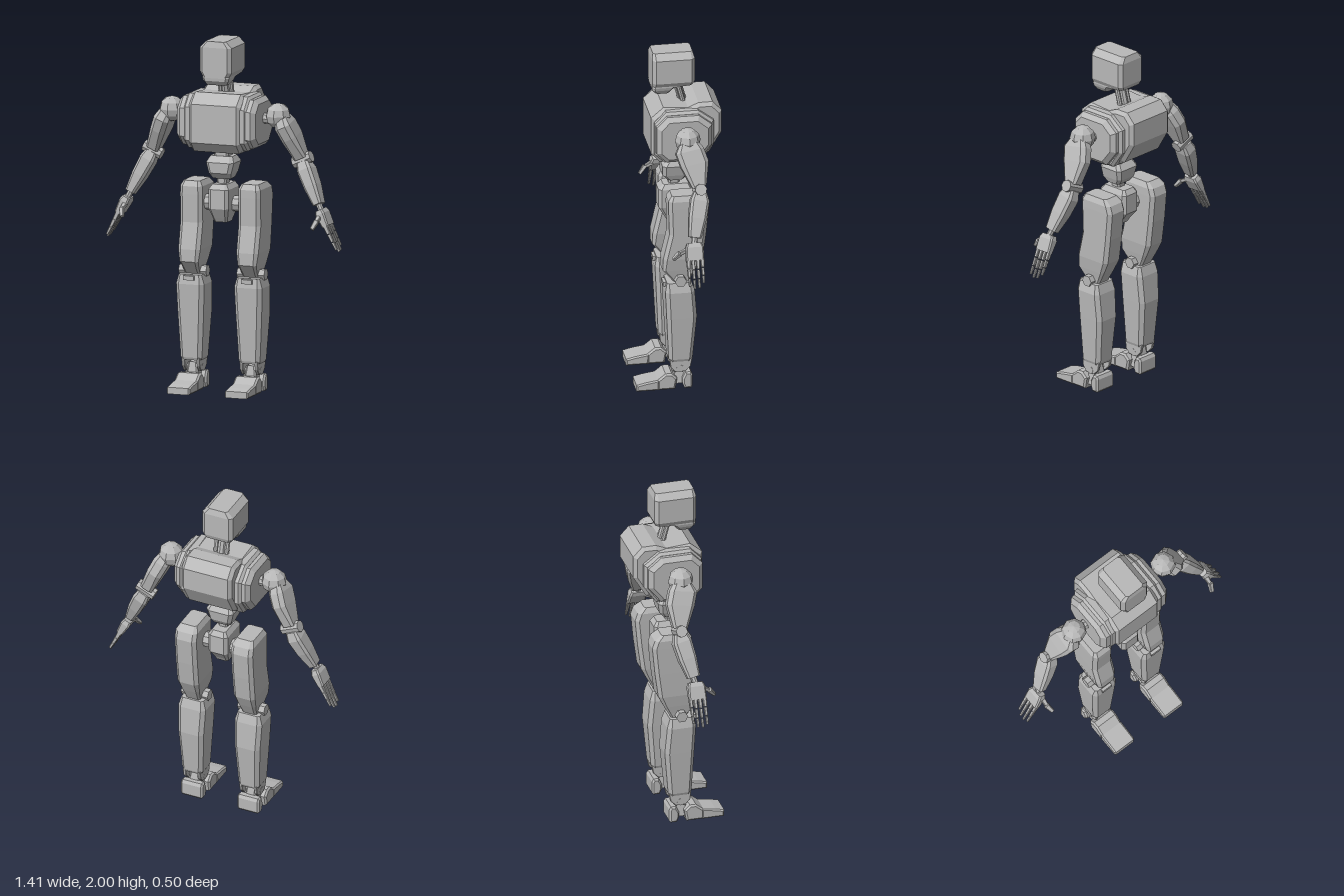
import * as THREE from 'three';

const grey = new THREE.MeshStandardMaterial({ color: 0xb8b8b8 });

function flatMesh(name, geo) {
  const g = geo.index ? geo.toNonIndexed() : geo;
  g.computeVertexNormals();
  const m = new THREE.Mesh(g, grey);
  m.name = name;
  return m;
}

// Stack of chamfered rectangles; each section is [y, halfWidth, zBack, zFront, chamfer]
function loft(name, sections) {
  const rings = [...sections].sort((a, b) => a[0] - b[0]).map(([y, w, b, f, c]) => [
    [w, y, b + c], [w, y, f - c], [w - c, y, f], [c - w, y, f],
    [-w, y, f - c], [-w, y, b + c], [c - w, y, b], [w - c, y, b],
  ]);
  const index = [], top = (rings.length - 1) * 8;
  for (let r = 0; r < rings.length - 1; r++) {
    for (let i = 0; i < 8; i++) {
      const a = r * 8 + i, c = r * 8 + (i + 1) % 8;
      index.push(a, a + 8, c, c, a + 8, c + 8);
    }
  }
  for (let i = 1; i < 7; i++) index.push(0, i, i + 1, top, top + i + 1, top + i);
  const g = new THREE.BufferGeometry();
  g.setAttribute('position', new THREE.Float32BufferAttribute(rings.flat(2), 3));
  g.setIndex(index);
  return flatMesh(name, g);
}

// Side profile of [z, y] points, given a width along x and bevelled edges
function slab(name, profile, halfWidth, bevel) {
  const shape = new THREE.Shape(profile.map(([z, y]) => new THREE.Vector2(z, y)));
  const depth = 2 * (halfWidth - bevel);
  const g = new THREE.ExtrudeGeometry(shape, {
    depth, bevelSize: bevel, bevelThickness: bevel, bevelOffset: -bevel, bevelSegments: 1,
  });
  g.translate(0, 0, -depth / 2).rotateY(-Math.PI / 2);
  return flatMesh(name, g);
}

// Cylinder lying along x
function pin(name, radius, length, sides = 8) {
  return flatMesh(name, new THREE.CylinderGeometry(radius, radius, length, sides).rotateZ(Math.PI / 2));
}

function at(mesh, x, y, z) {
  mesh.position.set(x, y, z);
  return mesh;
}

// Group starting at a, whose -y axis points towards b
function bone(name, a, b) {
  const g = new THREE.Group();
  g.name = name;
  const A = new THREE.Vector3(...a);
  const y = A.clone().sub(new THREE.Vector3(...b)).normalize();
  const x = new THREE.Vector3().crossVectors(y, new THREE.Vector3(0, 0, 1)).normalize();
  const z = new THREE.Vector3().crossVectors(x, y);
  g.quaternion.setFromRotationMatrix(new THREE.Matrix4().makeBasis(x, y, z));
  g.position.copy(A);
  return g;
}

function arm(s) {
  const g = new THREE.Group();
  g.name = s > 0 ? 'leftArm' : 'rightArm';
  const ball = flatMesh('shoulderBall', new THREE.SphereGeometry(0.073, 8, 6));
  g.add(at(ball, s * 0.32, 1.575, -0.028));
  g.add(at(pin('shoulderAxle', 0.03, 0.08), s * 0.25, 1.555, -0.028));

  const upper = bone('upperArm', [s * 0.345, 1.565, -0.028], [s * 0.455, 1.315, -0.075]);
  upper.add(loft('upperArmShell', [
    [0.01, 0.035, -0.05, 0.05, 0.015], [-0.04, 0.046, -0.075, 0.085, 0.022],
    [-0.12, 0.045, -0.085, 0.075, 0.022], [-0.25, 0.037, -0.04, 0.04, 0.012],
  ]));
  upper.add(at(pin('elbowPin', 0.034, 0.115), 0, -0.265, 0));

  const fore = bone('forearm', [s * 0.455, 1.315, -0.075], [s * 0.578, 1.065, -0.02]);
  fore.add(loft('forearmShell', [
    [0, 0.034, -0.035, 0.035, 0.01], [-0.05, 0.044, -0.055, 0.05, 0.014],
    [-0.15, 0.04, -0.052, 0.048, 0.014], [-0.26, 0.027, -0.036, 0.036, 0.01],
  ]));
  fore.add(at(flatMesh('wrist', new THREE.CylinderGeometry(0.018, 0.018, 0.08, 8)), 0, -0.28, 0));

  const hand = bone('hand', [s * 0.58, 1.06, -0.018], [s * 0.7, 0.825, -0.018]);
  hand.add(loft('palm', [
    [0, 0.022, -0.04, 0.04, 0.008], [-0.025, 0.028, -0.05, 0.05, 0.008], [-0.1, 0.02, -0.05, 0.052, 0.007],
  ]));
  [0.04, 0.013, -0.014, -0.04].forEach((z, i) => {
    const len = [0.15, 0.165, 0.16, 0.135][i];
    for (let k = 0; k < 3; k++) {
      const w = 0.013 - k * 0.002, seg = len / 3;
      hand.add(at(loft('fingerSegment', [
        [0, w, -w * 0.8, w * 0.8, 0.003], [-seg * 0.94, w - 0.002, -w * 0.7, w * 0.7, 0.003],
      ]), 0, -0.097 - k * seg, z));
    }
  });
  g.add(upper, fore, hand);

  // Thumb in two bent segments
  const path = [[s * 0.585, 1.025, 0.015], [s * 0.585, 1, 0.065], [s * 0.572, 0.965, 0.095]];
  for (let k = 0; k < 2; k++) {
    const t = bone('thumb', path[k], path[k + 1]);
    t.add(loft('thumbSegment', [[0.005, 0.015, -0.013, 0.013, 0.004], [-0.05, 0.011, -0.009, 0.009, 0.003]]));
    g.add(t);
  }
  return g;
}

function leg(s) {
  const g = new THREE.Group();
  g.name = s > 0 ? 'leftLeg' : 'rightLeg';
  g.position.x = s * 0.175;
  g.add(loft('thigh', [
    [1.185, 0.05, -0.11, 0.045, 0.012], [1.155, 0.066, -0.15, 0.065, 0.02],
    [1.11, 0.067, -0.165, 0.065, 0.02], [0.95, 0.067, -0.15, 0.06, 0.02],
    [0.8, 0.066, -0.13, 0.095, 0.02], [0.73, 0.056, -0.095, 0.097, 0.015],
    [0.685, 0.048, -0.07, 0.06, 0.012], [0.65, 0.044, -0.05, 0.03, 0.01],
  ]));
  g.add(at(pin('hipAxle', 0.045, 0.1), -s * 0.09, 1.06, -0.02));
  g.add(at(pin('kneePin', 0.034, 0.165, 6), 0, 0.67, 0));
  g.add(loft('shin', [
    [0.655, 0.068, -0.065, 0.075, 0.012], [0.6, 0.084, -0.082, 0.085, 0.022],
    [0.44, 0.078, -0.095, 0.077, 0.022], [0.18, 0.064, -0.072, 0.064, 0.02],
    [0.165, 0.058, -0.065, 0.058, 0.018],
  ]));
  const latch = flatMesh('shinLatch', new THREE.BoxGeometry(0.065, 0.025, 0.03));
  g.add(at(latch, 0, 0.637, 0.078));

  // Ankle fork and pivot
  for (const k of [-1, 1]) {
    g.add(at(slab('ankleFork', [[-0.07, 0.18], [-0.06, 0.13], [-0.03, 0.1], [0.03, 0.1], [0.055, 0.13], [0.06, 0.18]],
      0.009, 0.003), k * 0.045, 0, 0));
  }
  g.add(loft('ankleBlock', [[0.15, 0.025, -0.025, 0.025, 0.008], [0.1, 0.032, -0.035, 0.035, 0.008], [0.025, 0.045, -0.04, 0.04, 0.008]]));
  g.add(at(pin('anklePin', 0.022, 0.11), 0, 0.12, 0));

  // Foot
  g.add(slab('heel', [[-0.07, 0.012], [-0.06, 0], [-0.025, 0], [-0.012, 0.03], [-0.012, 0.06], [-0.03, 0.098], [-0.06, 0.098], [-0.07, 0.08]], 0.068, 0.01));
  g.add(slab('midfoot', [[0.03, 0], [0.13, 0], [0.13, 0.06], [0.085, 0.096], [0.05, 0.096], [0.018, 0.065]], 0.07, 0.01));
  g.add(slab('toe', [[0.12, 0], [0.25, 0], [0.25, 0.038], [0.2, 0.05], [0.12, 0.062]], 0.07, 0.008));
  return g;
}

export function createModel() {
  const model = new THREE.Group();
  model.name = 'robot';

  // Head and neck
  model.add(loft('head', [
    [2, 0.06, -0.1, 0.125, 0.012], [1.965, 0.095, -0.11, 0.132, 0.02],
    [1.825, 0.095, -0.11, 0.132, 0.02], [1.8, 0.08, -0.1, 0.132, 0.018],
    [1.792, 0.08, 0, 0.132, 0.015], [1.775, 0.075, 0.015, 0.13, 0.015], [1.75, 0.058, 0.035, 0.11, 0.01],
  ]));
  const neck = bone('neck', [0, 1.81, -0.015], [0, 1.68, -0.05]);
  for (const [x, z, r] of [[0, 0, 0.024], [-0.034, 0, 0.014], [0.034, 0, 0.014]]) {
    neck.add(at(flatMesh('neckRod', new THREE.CylinderGeometry(r, r, 0.13, 8)), x, -0.065, z));
  }
  model.add(neck);

  // Torso, stepping down in size towards the shoulders
  model.add(slab('chest', [
    [0.15, 1.42], [0.15, 1.64], [0.08, 1.7], [-0.06, 1.69], [-0.12, 1.716], [-0.2, 1.716],
    [-0.252, 1.66], [-0.252, 1.53], [-0.18, 1.41], [-0.1, 1.365], [0.1, 1.365],
  ], 0.156, 0.02));
  model.add(slab('chestStep', [
    [0.135, 1.43], [0.135, 1.62], [0.07, 1.688], [-0.11, 1.688], [-0.2, 1.62],
    [-0.2, 1.48], [-0.13, 1.38], [0.08, 1.38],
  ], 0.192, 0.015));
  model.add(slab('shoulderBlock', [
    [0.13, 1.45], [0.13, 1.61], [0.07, 1.672], [-0.11, 1.672], [-0.185, 1.61],
    [-0.185, 1.49], [-0.11, 1.395], [0.075, 1.395],
  ], 0.237, 0.025));

  // Waist and pelvis
  model.add(loft('spine', [[1.38, 0.045, -0.05, 0.04, 0.012], [1.16, 0.026, -0.03, 0.03, 0.01]]));
  model.add(loft('abdomen', [
    [1.335, 0.065, -0.06, 0.04, 0.015], [1.3, 0.083, -0.085, 0.072, 0.02],
    [1.24, 0.068, -0.075, 0.07, 0.018], [1.207, 0.055, -0.05, 0.04, 0.014],
  ]));
  model.add(loft('pelvis', [
    [1.178, 0.042, -0.085, 0.065, 0.01], [1.15, 0.06, -0.105, 0.092, 0.018],
    [1.04, 0.06, -0.105, 0.092, 0.018], [0.985, 0.045, -0.06, 0.06, 0.012], [0.96, 0.04, -0.045, 0.045, 0.012],
  ]));

  for (const s of [-1, 1]) model.add(arm(s), leg(s));
  return model;
}
